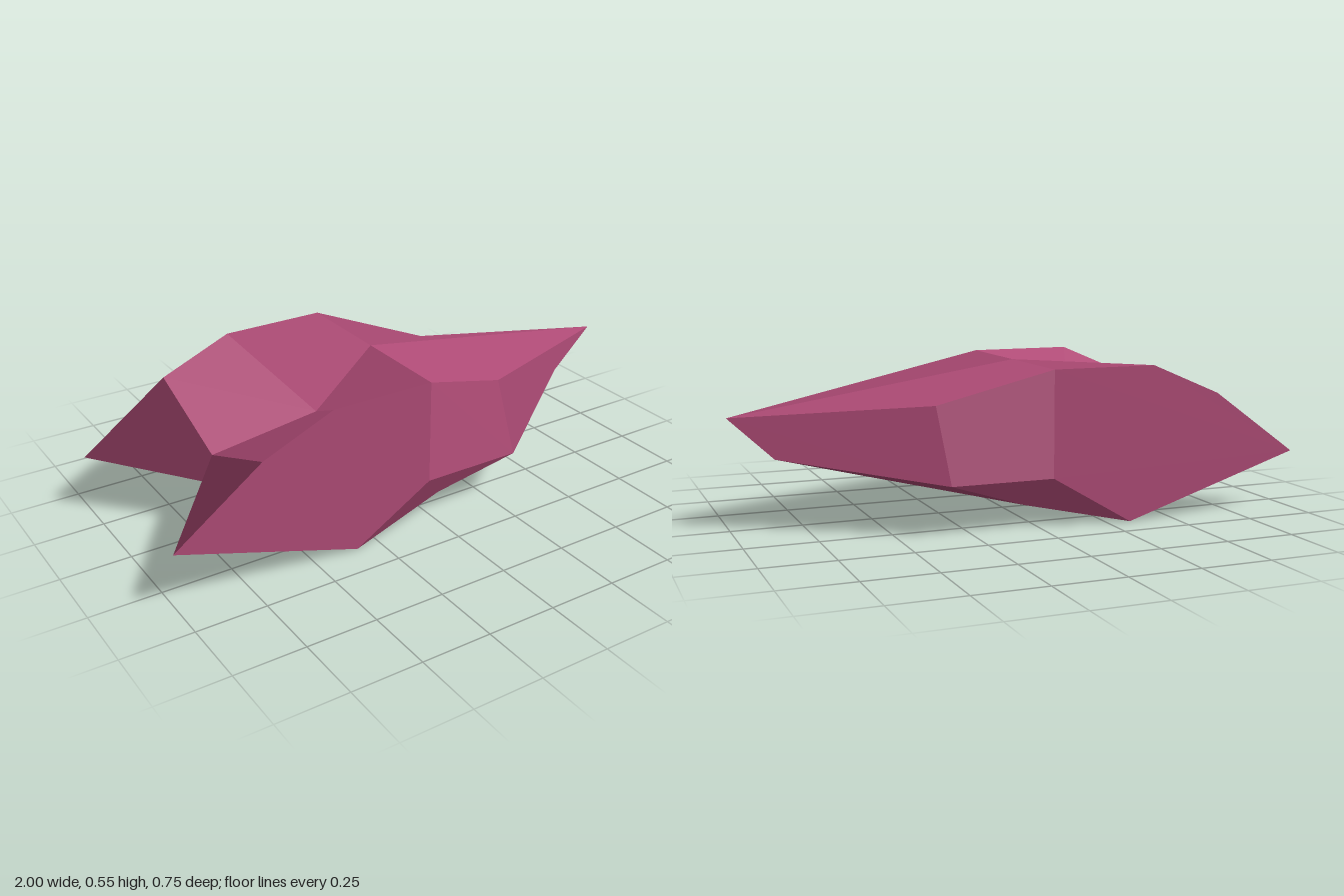
import * as THREE from 'three';

// Shared corner points; those off the centre plane are mirrored for the other half.
const P = {
  tailTip: [-1, 0.21, 0.375],
  tailTop: [-0.68, 0.44, 0.375],
  roofBack: [-0.42, 0.55, 0.375],
  roofFront: [-0.04, 0.55, 0.375],
  step: [-0.04, 0.175, 0.375],
  keel: [-0.335, 0, 0.375],
  hip: [0.33, 0.175, 0.375],
  cheek: [0.33, 0.425, 0.27],
  chine: [0.04, 0.077, 0.317],
  nose: [1, 0.39, 0],
  chin: [0.84, 0.238, 0],
  ridge: [-0.04, 0.55, 0],
  valley: [-0.27, 0.35, 0],
  notch: [-0.68, 0.295, 0],
  keelMid: [-0.335, 0, 0],
};

// Panels of one half; each is fanned from its first corner.
const PANELS = {
  sideWall: ['tailTip', 'keel', 'step', 'roofFront', 'roofBack', 'tailTop'],
  shoulder: ['roofFront', 'step', 'hip', 'cheek'],
  noseSide: ['cheek', 'hip', 'chin', 'nose'],
  noseTop: ['roofFront', 'cheek', 'nose', 'ridge'],
  innerRoof: ['roofBack', 'roofFront', 'ridge', 'valley'],
  innerSlope: ['tailTop', 'roofBack', 'valley', 'notch'],
  tailNotch: ['tailTip', 'tailTop', 'notch', 'keelMid'],
  lowerSide: ['step', 'keel', 'chine', 'hip'],
  belly: ['chine', 'keel', 'keelMid', 'chin', 'hip'],
  tailUnderside: ['tailTip', 'keelMid', 'keel'],
};

// The far half has a narrower cheek and is folded along other diagonals.
const FAR_POINTS = { ...P, cheek: [0.33, 0.425, 0.217] };
const FAR_PANELS = {
  ...PANELS,
  noseSide: ['hip', 'chin', 'nose', 'cheek'],
  noseTop: ['cheek', 'nose', 'ridge', 'roofFront'],
};

// One bent panel, shaded with a single normal averaged over its outline.
function panelGeometry(corners) {
  const normal = new THREE.Vector3();
  corners.forEach((c, i) => {
    normal.add(c.clone().cross(corners[(i + 1) % corners.length]));
  });
  normal.normalize();
  const index = [];
  for (let i = 1; i < corners.length - 1; i++) index.push(0, i, i + 1);
  const geometry = new THREE.BufferGeometry().setFromPoints(corners);
  const normals = corners.flatMap(() => normal.toArray());
  geometry.setAttribute('normal', new THREE.Float32BufferAttribute(normals, 3));
  geometry.setIndex(index);
  return geometry;
}

function buildHalf(name, points, panels, side, material) {
  const half = new THREE.Group();
  half.name = name;
  for (const [panelName, keys] of Object.entries(panels)) {
    // Mirrored panels keep their first corner and reverse the rest.
    const order = side > 0 ? keys : [keys[0], ...keys.slice(1).reverse()];
    const corners = order.map((k) => {
      const [x, y, z] = points[k];
      return new THREE.Vector3(x, y, z * side);
    });
    const mesh = new THREE.Mesh(panelGeometry(corners), material);
    mesh.name = panelName;
    half.add(mesh);
  }
  return half;
}

export function createModel() {
  const plum = new THREE.MeshStandardMaterial({ color: 0xaf4b76, side: THREE.DoubleSide });
  plum.name = 'plum';

  const model = new THREE.Group();
  model.name = 'facetedArrowhead';
  model.add(buildHalf('frontHalf', P, PANELS, 1, plum));
  model.add(buildHalf('backHalf', FAR_POINTS, FAR_PANELS, -1, plum));
  return model;
}
